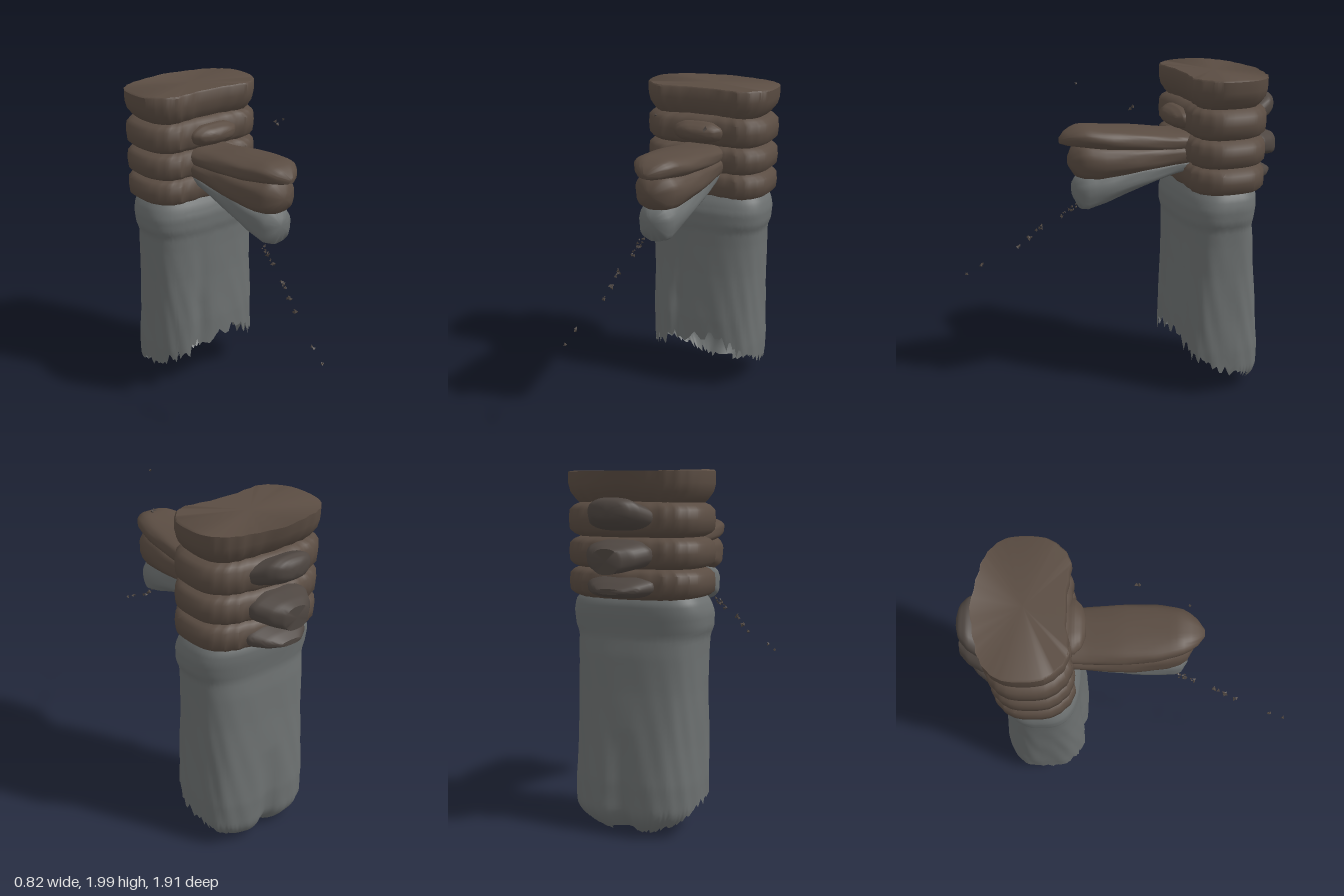
import * as THREE from 'three';
import { mergeGeometries, toCreasedNormals } from 'three/addons/utils/BufferGeometryUtils.js';

const TAU = Math.PI * 2;
const lerp = THREE.MathUtils.lerp;
const gauss = (x, w) => Math.exp(-(x * x) / (w * w));
const spow = (v, n) => Math.sign(v) * Math.pow(Math.abs(v), 2 / n);

let seed = 7;
const rnd = () => (seed = (seed * 16807) % 2147483647) / 2147483647;

// Linear lookup in rows of [key, a, b, ...] sorted by key
function sample(rows, k) {
  let i = 0;
  while (i < rows.length - 2 && k > rows[i + 1][0]) i++;
  const [p, q] = [rows[i], rows[i + 1]];
  const t = THREE.MathUtils.clamp((k - p[0]) / (q[0] - p[0]), 0, 1);
  return p.slice(1).map((v, n) => lerp(v, q[n + 1], t));
}

// Skin over closed rings; point(i, a) gives [x, y, z] for ring i at angle a
function loft(rings, seg, point, capStart, capEnd) {
  const pos = [], idx = [];
  for (let i = 0; i < rings; i++)
    for (let j = 0; j < seg; j++) pos.push(...point(i, (j / seg) * TAU, j));
  for (let i = 0; i < rings - 1; i++)
    for (let j = 0; j < seg; j++) {
      const a = i * seg + j, b = i * seg + ((j + 1) % seg), c = a + seg, d = b + seg;
      idx.push(a, c, b, c, d, b);
    }
  const cap = (ring, flip) => {
    const c = [0, 0, 0], start = ring * seg;
    for (let j = 0; j < seg; j++) for (let k = 0; k < 3; k++) c[k] += pos[(start + j) * 3 + k] / seg;
    const m = pos.length / 3;
    pos.push(...c);
    for (let j = 0; j < seg; j++) {
      const a = start + j, b = start + ((j + 1) % seg);
      flip ? idx.push(m, b, a) : idx.push(m, a, b);
    }
  };
  if (capStart) cap(0, false);
  if (capEnd) cap(rings - 1, true);
  const g = new THREE.BufferGeometry();
  g.setAttribute('position', new THREE.Float32BufferAttribute(pos, 3));
  g.setIndex(idx);
  g.computeVertexNormals();
  return g;
}

// Tongue running along z (dir +1 or -1); rows of [z, halfWidth, yLow, yHigh]
function tongue(rows, dir, n, rough) {
  const z0 = rows[0][0], z1 = rows[rows.length - 1][0], rings = 22;
  const keyed = rows.map((r) => [r[0] * dir, ...r.slice(1)]);
  const g = loft(rings, 40, (i, a) => {
    const z = lerp(z0, z1, i / (rings - 1));
    const [w, lo, hi] = sample(keyed, z * dir);
    const k = 1 + rough * (Math.sin(a * 7 + z * 9) + 0.6 * Math.sin(a * 12 - z * 23));
    return [w * k * spow(Math.cos(a), n), (lo + hi) / 2 - (dir * k * (hi - lo) / 2) * spow(Math.sin(a), n), z];
  }, true, true);
  return toCreasedNormals(g, 0.9);
}

export function createModel() {
  const group = new THREE.Group();
  const mat = (color) => new THREE.MeshStandardMaterial({ color });
  const brown = mat(0x5a4c42), dark = mat(0x4e4641), grey = mat(0x6c7070);
  const shell = mat(0x6c7070);
  shell.side = THREE.DoubleSide;
  const add = (name, geo, m) => {
    const mesh = new THREE.Mesh(geo, m);
    mesh.name = name;
    group.add(mesh);
  };

  // Lower column: open shell with a ragged hem; rows of [y, halfX, zFront, zBack]
  const column = [
    [0, 0.36, -0.29, -0.83], [0.3, 0.37, -0.28, -0.825], [0.5, 0.365, -0.28, -0.805],
    [0.8, 0.365, -0.295, -0.775], [1.0, 0.37, -0.3, -0.76], [1.1, 0.375, -0.3, -0.745],
    [1.15, 0.395, -0.29, -0.75], [1.23, 0.4, -0.29, -0.76], [1.29, 0.385, -0.31, -0.76], [1.34, 0.35, -0.34, -0.73],
  ];
  const seg = 128, rings = 56;
  const jag = Array.from({ length: seg }, () => (rnd() - 0.5) * 0.07);
  add('columnShell', loft(rings, seg, (i, a, j) => {
    const s = Math.sin(a);
    const notch = s > 0 ? 0.06 * gauss(Math.cos(a) - 0.15, 0.4) : 0;
    const hem = Math.max(0, 0.165 + 0.145 * s + notch + jag[j] * (1 + 0.5 * s));
    const y = lerp(hem, 1.34, i / (rings - 1));
    const [w, zf, zb] = sample(column, y);
    const curl = 1 - 0.4 * Math.pow(Math.max(0, 0.16 - y) / 0.16, 2);
    const low = THREE.MathUtils.clamp((1.1 - y) / 0.5, 0, 1);
    const k = curl * (1 + 0.006 * low * (Math.sin(a * 9 + y * 5) + Math.sin(a * 17 - y * 13)));
    const x = w * spow(Math.cos(a), 2.9) * k;
    let z = (zf + zb) / 2 + ((zf - zb) / 2) * spow(s, 2.9) * k;
    // folds: rear centre crease and a slanting front pleat
    const deep = THREE.MathUtils.clamp((0.6 - y) / 0.5, 0, 1);
    if (s < -0.3) z += 0.05 * deep * gauss(x, 0.06);
    if (s > 0.3) z -= 0.03 * low * gauss(x + 0.16 - 0.06 * y, 0.05);
    return [x, y, z];
  }), shell);

  // Stacked rings with grooves between them; rows of [yLow, yHigh]
  const bands = [[1.31, 1.48], [1.47, 1.645], [1.64, 1.83], [1.82, 2.0]];
  bands.forEach(([y0, y1], b) => {
    const top = b === 3;
    const rows = top
      ? [[0, 0.07], [0.12, 0.045], [0.35, 0.012], [0.6, 0], [0.95, 0], [1, 0.01]]
      : [[0, 0.075], [0.1, 0.03], [0.22, 0.005], [0.5, 0], [0.78, 0.005], [0.9, 0.03], [1, 0.075]];
    const geo = loft(rows.length, 96, (i, a) => {
      const [t, inset] = rows[i], s = Math.sin(a);
      const rib = 0.004 * Math.cos(a * 24);
      const x = (0.412 - inset) * spow(Math.cos(a), 2.8);
      let z = -0.55 + (0.235 - inset * 0.7 + rib) * spow(s, 3);
      const corner = gauss(Math.abs(x) - 0.28, 0.09);
      if (s > 0.2) z += 0.03 * corner - (top ? 0.02 * gauss(x, 0.15) : 0);
      if (s < -0.2) z -= 0.012 * corner + (top ? 0.045 * t * gauss(x, 0.2) : 0.03 * gauss(x, 0.2));
      return [x, lerp(y0, y1, t) - (top && t === 1 ? 0.012 * Math.max(0, -s) : 0), z];
    }, true, true);
    add('band' + (b + 1), toCreasedNormals(geo, 0.8), brown);
  });

  // Rear lobes, fanned up and down
  const rear = [
    ['rearLobeLower', [[-0.7, 0.2, 1.35, 1.47], [-0.8, 0.2, 1.32, 1.44], [-0.87, 0.14, 1.33, 1.41], [-0.92, 0.07, 1.35, 1.38]]],
    ['rearLobeMiddle', [[-0.7, 0.2, 1.48, 1.64], [-0.82, 0.19, 1.47, 1.63], [-0.9, 0.14, 1.46, 1.61], [-0.95, 0.08, 1.455, 1.59]]],
    ['rearLobeUpper', [[-0.7, 0.2, 1.66, 1.78], [-0.78, 0.2, 1.67, 1.82], [-0.87, 0.15, 1.7, 1.855], [-0.915, 0.1, 1.73, 1.84], [-0.93, 0.04, 1.75, 1.81]]],
  ];
  rear.forEach(([name, rows]) => add(name, tongue(rows, -1, 2.5, 0.006), dark));

  // Front collar above the arm
  add('frontCollar', tongue([[-0.4, 0.17, 1.66, 1.8], [-0.3, 0.16, 1.67, 1.8], [-0.26, 0.12, 1.69, 1.78], [-0.24, 0.06, 1.71, 1.76]], 1, 2.4, 0.012), brown);

  // Front arm: three overlapping layers that fan out toward the tip
  add('armUpperLayer', tongue([
    [-0.42, 0.16, 1.53, 1.65], [-0.25, 0.165, 1.54, 1.66], [-0.05, 0.175, 1.56, 1.69], [0.15, 0.165, 1.58, 1.71],
    [0.28, 0.135, 1.6, 1.725], [0.35, 0.095, 1.61, 1.705], [0.39, 0.055, 1.615, 1.68], [0.41, 0.02, 1.625, 1.66],
  ], 1, 2.6, 0.012), brown);
  add('armMiddleLayer', tongue([
    [-0.42, 0.165, 1.46, 1.6], [-0.25, 0.17, 1.45, 1.6], [0, 0.175, 1.42, 1.61], [0.2, 0.15, 1.4, 1.62],
    [0.3, 0.12, 1.41, 1.62], [0.34, 0.08, 1.44, 1.59], [0.355, 0.04, 1.48, 1.55],
  ], 1, 2.6, 0.014), brown);
  add('armLowerLayer', tongue([
    [-0.4, 0.13, 1.42, 1.52], [-0.25, 0.14, 1.39, 1.5], [0, 0.14, 1.31, 1.48], [0.15, 0.13, 1.255, 1.46],
    [0.27, 0.11, 1.215, 1.44], [0.31, 0.09, 1.23, 1.42], [0.33, 0.05, 1.29, 1.39],
  ], 1, 2.6, 0.018), grey);

  // Loose chips trailing forward and down; rows of [x, y, z, count, spread]
  const trail = [
    [-0.09, 1.2, 0.3, 10, 0.03], [-0.1, 1.16, 0.37, 5, 0.015], [-0.13, 1.08, 0.51, 9, 0.02], [-0.14, 1.03, 0.56, 7, 0.02],
    [-0.155, 0.97, 0.64, 4, 0.015], [-0.21, 0.86, 0.86, 3, 0.01], [-0.225, 0.81, 0.945, 3, 0.008],
    [0.2, 1.85, 0.04, 2, 0.01], [0.02, 1.97, 0.31, 1, 0.004],
  ];
  const chips = [];
  for (const [x, y, z, count, spread] of trail)
    for (let i = 0; i < count; i++) {
      const r = () => (rnd() - 0.5) * 2 * spread, along = r();
      const chip = new THREE.TetrahedronGeometry(0.006 + rnd() * 0.008);
      chip.rotateX(rnd() * 6).rotateZ(rnd() * 6);
      chips.push(chip.translate(x + r() * 0.5, y - along * 0.6 + r() * 0.4, z + along));
    }
  add('chips', mergeGeometries(chips), dark);

  return group;
}
